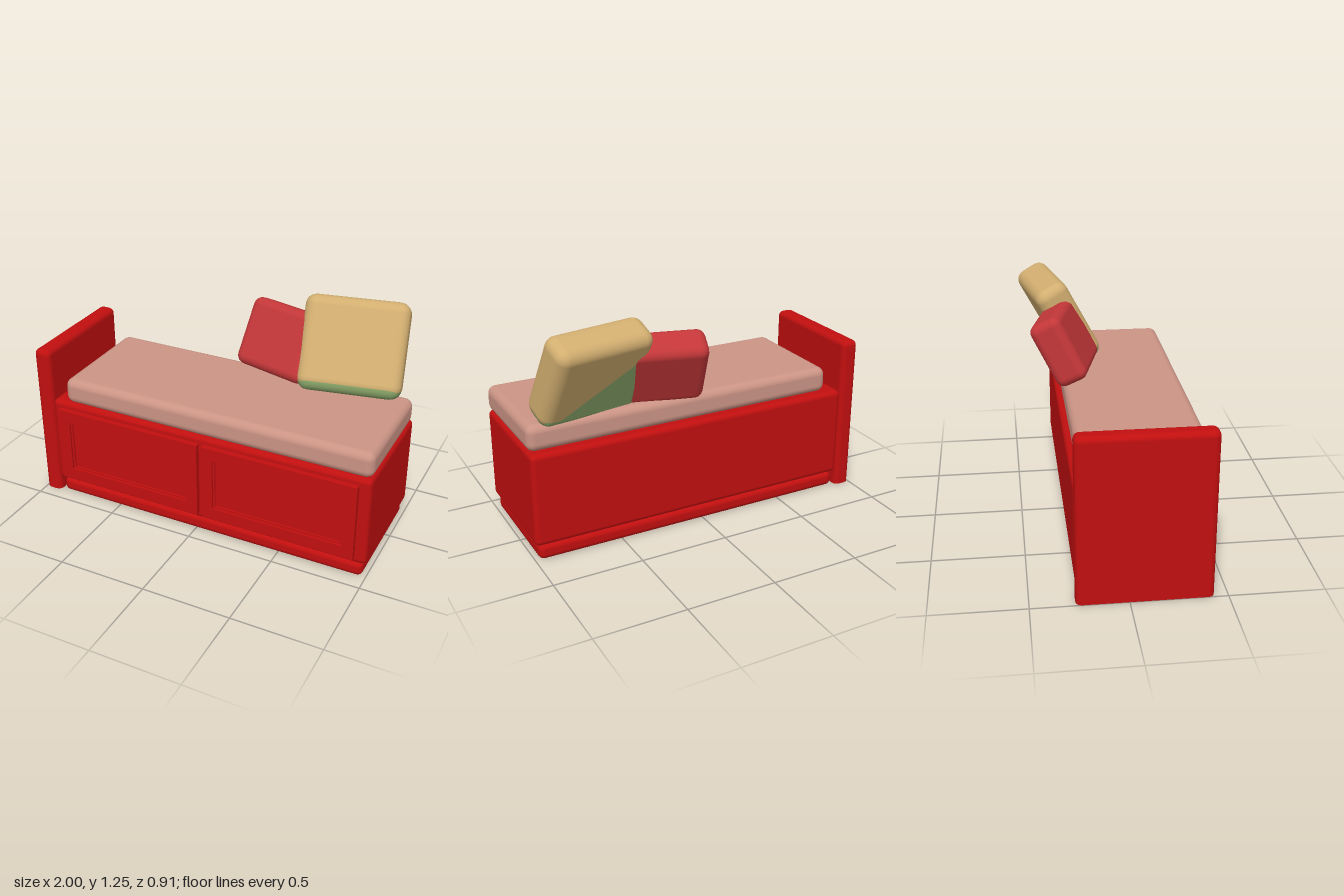
import * as THREE from 'three';
import { RoundedBoxGeometry } from 'three/addons/geometries/RoundedBoxGeometry.js';

const material = (name, color) => {
  const m = new THREE.MeshStandardMaterial({ color });
  m.name = name;
  return m;
};

export function createModel() {
  const bed = new THREE.Group();
  bed.name = 'storageDaybed';
  const red = material('red paint', 0xc20f0f);
  const pink = material('pink mattress fabric', 0xcb9485);
  const tan = material('tan fabric', 0xd2ae70);
  const rose = material('rose fabric', 0xc43739);
  const green = material('green fabric', 0x88a468);

  const add = (parent, name, geometry, mat, x = 0, y = 0, z = 0) => {
    const mesh = new THREE.Mesh(geometry, mat);
    mesh.name = name;
    mesh.position.set(x, y, z);
    parent.add(mesh);
    return mesh;
  };
  // Rounded block given by its extents
  const block = (name, mat, [x0, x1], [y0, y1], [z0, z1], r, segments = 2) =>
    add(bed, name, new RoundedBoxGeometry(x1 - x0, y1 - y0, z1 - z0, segments, r), mat,
      (x0 + x1) / 2, (y0 + y1) / 2, (z0 + z1) / 2);

  // Cabinet, plinth and mattress
  block('cabinet', red, [-0.9, 1], [0.09, 0.615], [-0.27, 0.43], 0.03);
  block('plinth', red, [-0.88, 0.98], [0, 0.088], [-0.26, 0.42], 0.032);
  block('mattress', pink, [-0.81, 1], [0.615, 0.762], [-0.24, 0.43], 0.045, 3);

  // Headboard, rounded everywhere but at the floor
  const board = block('headboard', red, [-1, -0.9], [-0.04, 0.908], [-0.27, 0.43], 0.032);
  const p = board.geometry.attributes.position;
  for (let i = 0; i < p.count; i++) p.setY(i, Math.max(p.getY(i), -board.position.y));

  // Rectangular frame with a rectangular opening
  const frame = (w, h, iw, ih, depth) => {
    const corners = (a, b) => [[-a, -b], [a, -b], [a, b], [-a, b]]
      .map(([x, y]) => new THREE.Vector2(x / 2, y / 2));
    const shape = new THREE.Shape(corners(w, h));
    shape.holes.push(new THREE.Path(corners(iw, ih).reverse()));
    return new THREE.ExtrudeGeometry(shape, { depth, bevelEnabled: false });
  };

  // Two doors with stepped, recessed panels
  for (const [name, x] of [['rightDoor', -0.403], ['leftDoor', 0.5]]) {
    const door = new THREE.Group();
    door.name = name;
    door.position.set(x, 0.354, 0.43);
    add(door, 'doorFrame', frame(0.877, 0.444, 0.745, 0.306, 0.03), red);
    add(door, 'panelMoulding', frame(0.745, 0.306, 0.722, 0.284, 0.018), red);
    add(door, 'doorPanel', new THREE.BoxGeometry(0.722, 0.284, 0.008), red, 0, 0, 0.004);
    bed.add(door);
  }

  // Leaning cushions
  const cushion = (name, mat, [w, h, t], r, [x, y, z], tilt, yaw) => {
    const group = new THREE.Group();
    group.name = name;
    group.position.set(x, y, z);
    group.rotation.set(-tilt, yaw, 0, 'YXZ');
    add(group, name + 'Cover', new RoundedBoxGeometry(w, h, t, 3, r), mat);
    bed.add(group);
    return group;
  };
  cushion('smallCushion', rose, [0.46, 0.39, 0.19], 0.05, [0.24, 0.947, -0.215], 0.48, -0.26);
  const large = cushion('largeCushion', tan, [0.566, 0.51, 0.2], 0.06,
    [0.643, 0.997, -0.227], 0.489, 0.19);

  // Green underside and green lining showing through the back of the large cushion
  add(large, 'cushionUnderside', new RoundedBoxGeometry(0.56, 0.51, 0.194, 3, 0.06), green, 0, -0.01, 0);
  add(large, 'cushionLining', new RoundedBoxGeometry(0.54, 0.49, 0.15, 3, 0.04), green, 0, -0.005, -0.022)
    .rotation.set(0.05, -0.038, 0);

  return bed;
}
